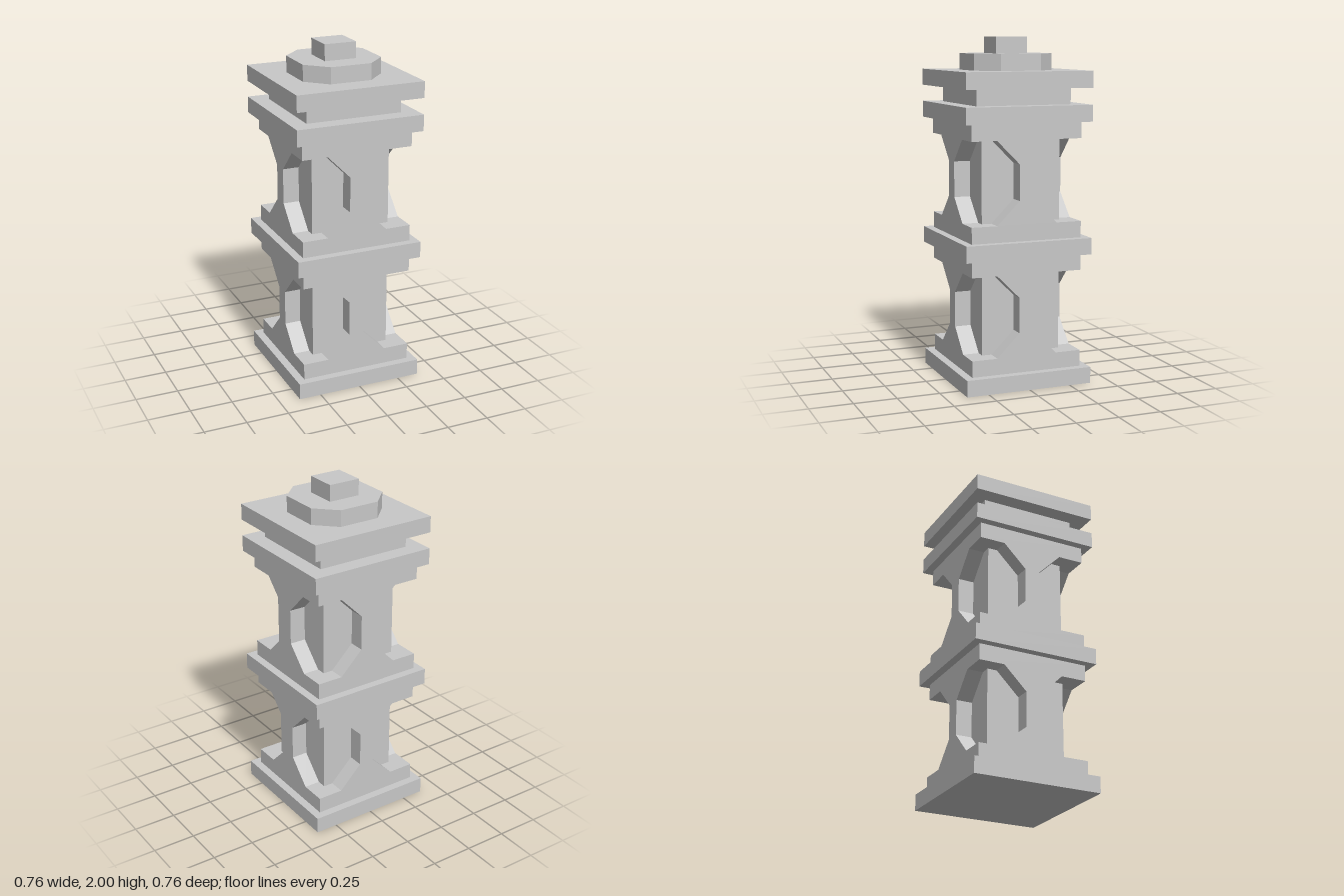
import * as THREE from 'three';

// One course of the tower is a twenty-first of its height
const U = 2 / 21;

export function createModel() {
  const model = new THREE.Group();
  model.name = 'stonePillar';
  const stone = new THREE.MeshStandardMaterial({ color: 0xc8c8c8 });
  stone.name = 'stone';

  const add = (parent, name, geometry) => {
    const mesh = new THREE.Mesh(geometry, stone);
    mesh.name = name;
    parent.add(mesh);
    return mesh;
  };

  // Square block: half width, bottom and top measured in courses
  const block = (parent, name, half, bottom, top) => {
    const mesh = add(parent, name, new THREE.BoxGeometry(half * 2 * U, (top - bottom) * U, half * 2 * U));
    mesh.position.y = (bottom + top) / 2 * U;
  };

  const prism = (points, depth) => new THREE.ExtrudeGeometry(
    new THREE.Shape(points.map(([x, y]) => new THREE.Vector2(x * U, y * U))),
    { depth: depth * U, bevelEnabled: false });

  // Flared rib, narrow at the waist and wide at both ends
  const foot = 1.9, waist = 0.48, slope = 1.42;
  const side = [[foot, 0], [waist, slope], [waist, 5 - slope], [foot, 5]];
  const ribGeometry = prism([...side, ...side.map(([x, y]) => [-x, y]).reverse()], 1);

  // Square core with a rib on each face, between two wider blocks
  const tier = (name, bottom) => {
    const group = new THREE.Group();
    group.name = name;
    block(group, 'lowerBlock', 3.5, bottom, bottom + 1);
    block(group, 'core', 2.5, bottom + 1, bottom + 6);
    block(group, 'upperBlock', 3.5, bottom + 6, bottom + 7);
    for (let i = 0; i < 4; i++) {
      const angle = i * Math.PI / 2;
      const rib = add(group, 'rib', ribGeometry);
      rib.rotation.y = angle;
      rib.position.set(Math.sin(angle) * 2.5 * U, (bottom + 1) * U, Math.cos(angle) * 2.5 * U);
    }
    model.add(group);
  };

  block(model, 'base', 4, 0, 1);
  tier('lowerTier', 1);
  block(model, 'middleSlab', 4, 8, 9);
  tier('upperTier', 9);
  block(model, 'lowerCornice', 4, 16, 17);
  block(model, 'neck', 3, 17, 18);
  block(model, 'upperCornice', 4, 18, 19);

  // Eight-sided cap with chamfered corners
  const w = 2.5, c = 1.28;
  const cap = add(model, 'octagonalCap', prism(
    [[w, -c], [w, c], [c, w], [-c, w], [-w, c], [-w, -c], [-c, -w], [c, -w]], 1));
  cap.rotation.x = -Math.PI / 2;
  cap.position.y = 19 * U;

  block(model, 'finial', 1, 20, 21);
  return model;
}
